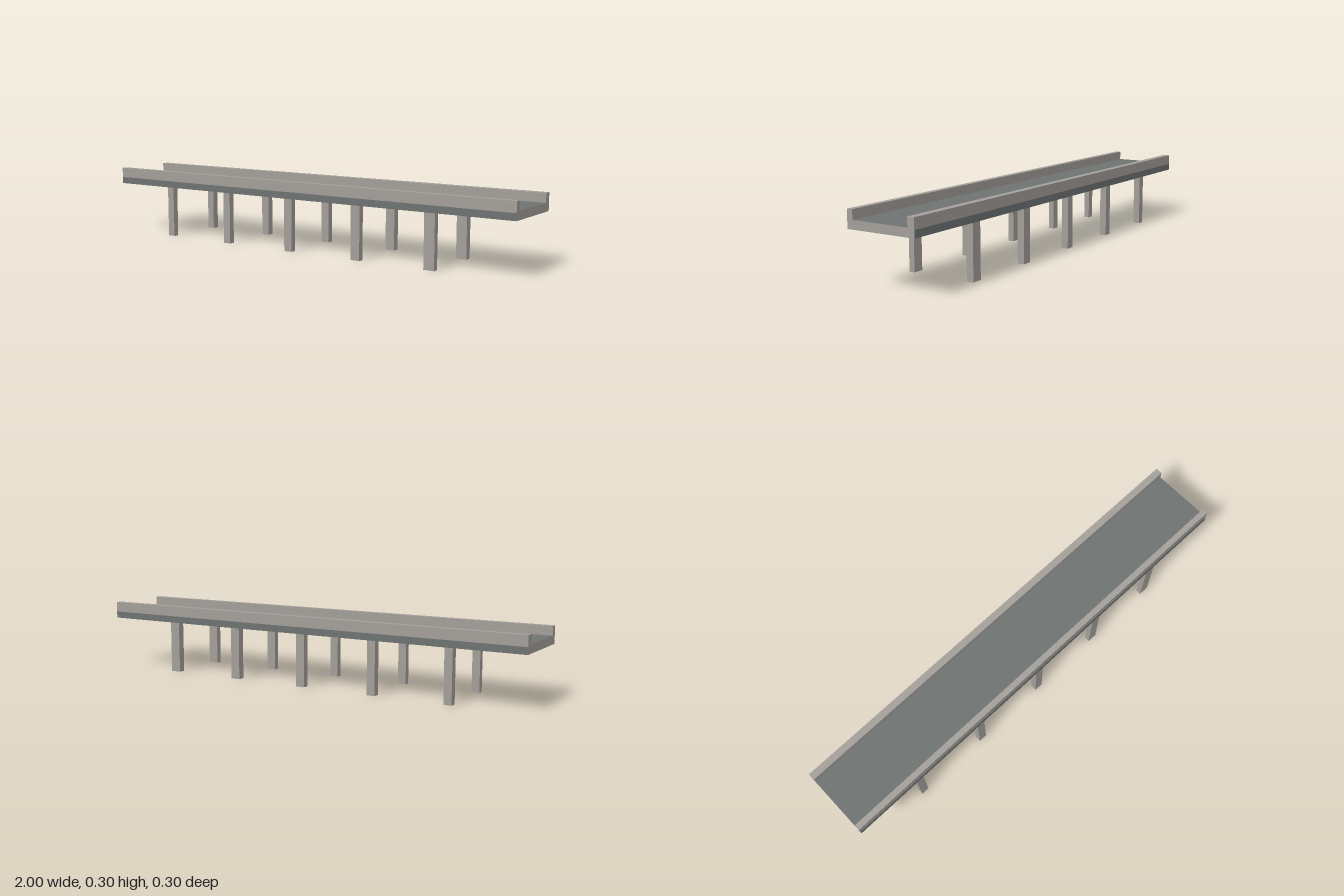
import * as THREE from 'three';

export function createModel() {
  const model = new THREE.Group();
  const concrete = new THREE.MeshStandardMaterial({ name: 'warm grey concrete', color: 0xa39f9a });
  const asphalt = new THREE.MeshStandardMaterial({ name: 'slate asphalt', color: 0x6e7473 });
  // Deck pieces are slate with concrete end faces
  const deckMaterials = [concrete, concrete, asphalt, asphalt, asphalt, asphalt];

  // Box given by its lower and upper limits on each axis
  function addBox(name, [x0, x1], [y0, y1], [z0, z1], material) {
    const mesh = new THREE.Mesh(new THREE.BoxGeometry(x1 - x0, y1 - y0, z1 - z0), material);
    mesh.position.set((x0 + x1) / 2, (y0 + y1) / 2, (z0 + z1) / 2);
    mesh.name = name;
    model.add(mesh);
  }

  const span = [-1, 1];
  const sides = { front: [0.127, 0.152], back: [-0.152, -0.122] };
  const deckBottom = 0.223, wallBottom = 0.252, roadTop = 0.258, wallTop = 0.296;

  // Deck slab and the road surface between the parapets
  addBox('deck', span, [deckBottom, wallBottom], [-0.152, 0.152], deckMaterials);
  addBox('roadSurface', span, [wallBottom, roadTop], [-0.122, 0.127], deckMaterials);

  // Pillars grow slightly wider toward the left end
  const pillars = [[-0.706, -0.672], [-0.373, -0.337], [-0.039, -0.001], [0.294, 0.336], [0.627, 0.673]];

  for (const [side, depth] of Object.entries(sides)) {
    addBox(`${side}Parapet`, span, [wallBottom, wallTop], depth, concrete);
    pillars.forEach((width, i) => addBox(`${side}Pillar${i + 1}`, width, [0, deckBottom], depth, concrete));
  }
  return model;
}
